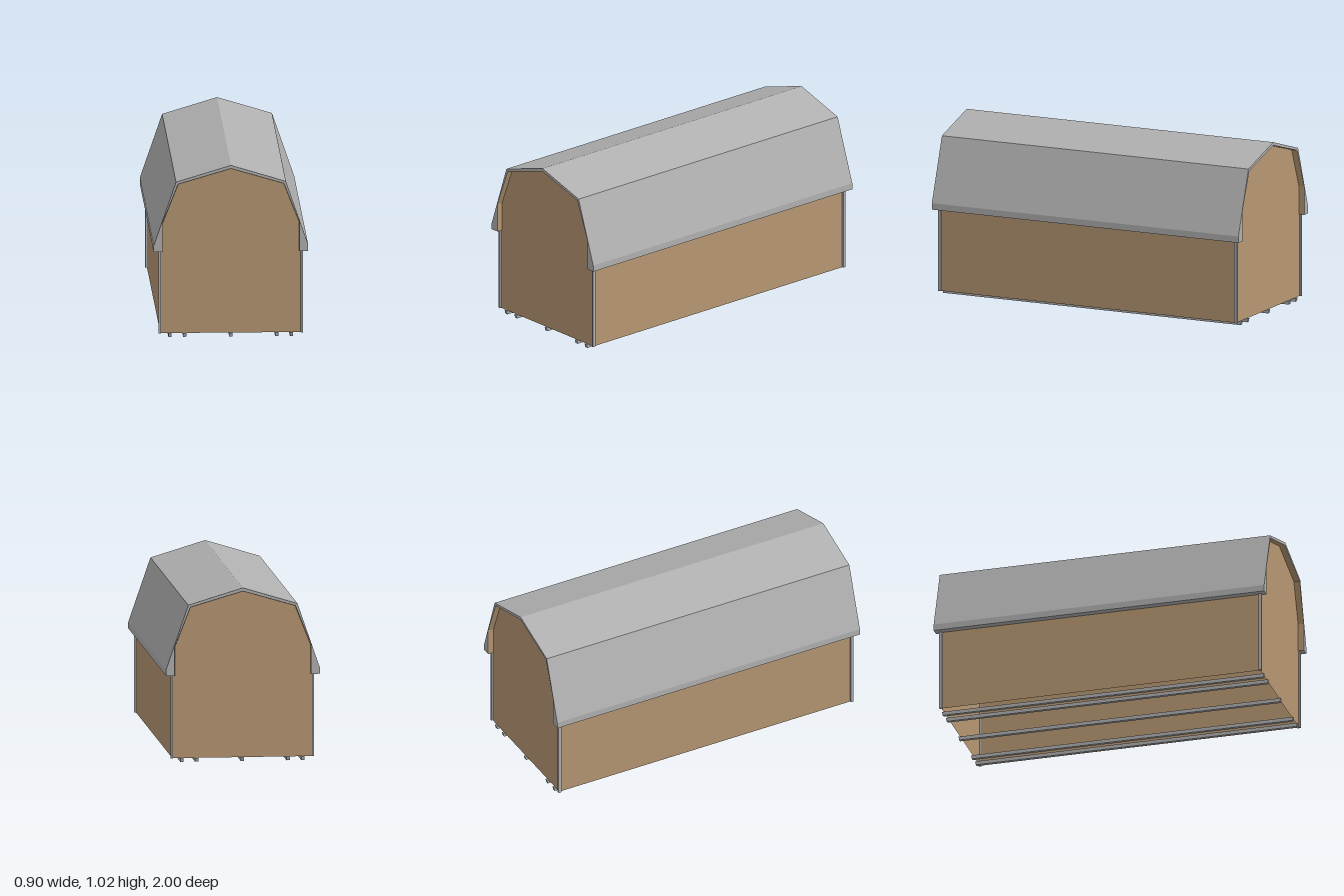
import * as THREE from 'three';

// Right half of the roof underside, eave to ridge
const INNER = [[0.4, 0.51], [0.4, 0.68], [0.308, 0.913], [0, 1.003]];
const OUTER = [[0.45, 0.51], [0.45, 0.548], [0.32, 0.925], [0, 1.022]];
const BASE = 0.022, EAVE = 0.51, WALL_X = 0.41, WALL_Z = 0.965, ROOF_Z = 1;

// Mirror a half profile into a full arch running from +x over the ridge to -x
const arch = (half) => [...half, ...half.slice(0, -1).reverse().map(([x, y]) => [-x, y])];
const toShape = (pts) => new THREE.Shape(pts.map(([x, y]) => new THREE.Vector2(x, y)));

export function createModel() {
  const model = new THREE.Group();
  const grey = new THREE.MeshStandardMaterial({ color: 0xb0b0b0 });
  grey.name = 'grey metal';
  const tan = new THREE.MeshStandardMaterial({ color: 0xb69672, side: THREE.DoubleSide });
  tan.name = 'tan siding';

  const add = (name, geometry, material, x = 0, y = 0, z = 0) => {
    const mesh = new THREE.Mesh(geometry, material);
    mesh.name = name;
    mesh.position.set(x, y, z);
    model.add(mesh);
    return mesh;
  };

  // Gambrel roof shell with boxed eaves
  const roofShape = toShape([...arch(OUTER), ...arch(INNER).reverse()]);
  add('roof', new THREE.ExtrudeGeometry(roofShape, { depth: 2 * ROOF_Z, bevelEnabled: false }),
    grey, 0, 0, -ROOF_Z);

  // Lining on the underside of the roof
  const lining = arch(INNER).map(([x, y], i, a) => [x * 0.997, i === 0 || i === a.length - 1 ? y : y - 0.001]);
  const strip = [];
  for (let i = 0; i < lining.length - 1; i++) {
    const [ax, ay] = lining[i], [bx, by] = lining[i + 1], z = ROOF_Z - 0.001;
    strip.push(ax, ay, z, bx, by, z, bx, by, -z, ax, ay, z, bx, by, -z, ax, ay, -z);
  }
  const liningGeometry = new THREE.BufferGeometry();
  liningGeometry.setAttribute('position', new THREE.Float32BufferAttribute(strip, 3));
  liningGeometry.computeVertexNormals();
  add('roofLining', liningGeometry, tan);

  // Gable end walls
  const gableShape = toShape([[WALL_X, BASE], [WALL_X, EAVE], ...arch(INNER), [-WALL_X, EAVE], [-WALL_X, BASE]]);
  const gable = new THREE.ShapeGeometry(gableShape);
  add('frontGable', gable, tan, 0, 0, WALL_Z);
  add('backGable', gable, tan, 0, 0, -WALL_Z).rotation.y = Math.PI;

  // Side walls and corner trims
  const wall = new THREE.PlaneGeometry(2 * WALL_Z, EAVE - BASE);
  const post = new THREE.BoxGeometry(0.012, EAVE - BASE, 0.018);
  const midY = (BASE + EAVE) / 2;
  for (const s of [1, -1]) {
    const side = s > 0 ? 'left' : 'right';
    add(side + 'Wall', wall, tan, s * WALL_X, midY).rotation.y = s * Math.PI / 2;
    for (const t of [1, -1]) {
      add(side + (t > 0 ? 'Front' : 'Back') + 'CornerTrim', post, grey, s * 0.414, midY, t * 0.966);
    }
  }

  // Skids with slightly chamfered ends, running the length of the open base
  const skid = new THREE.BoxGeometry(0.019, BASE, 1.95);
  const p = skid.attributes.position;
  for (let i = 0; i < p.count; i++) if (p.getY(i) < 0) p.setZ(i, p.getZ(i) * 0.995);
  skid.computeVertexNormals();
  for (const x of [-0.354, -0.268, 0, 0.268, 0.354]) add('skid', skid, grey, x, BASE / 2);

  return model;
}
